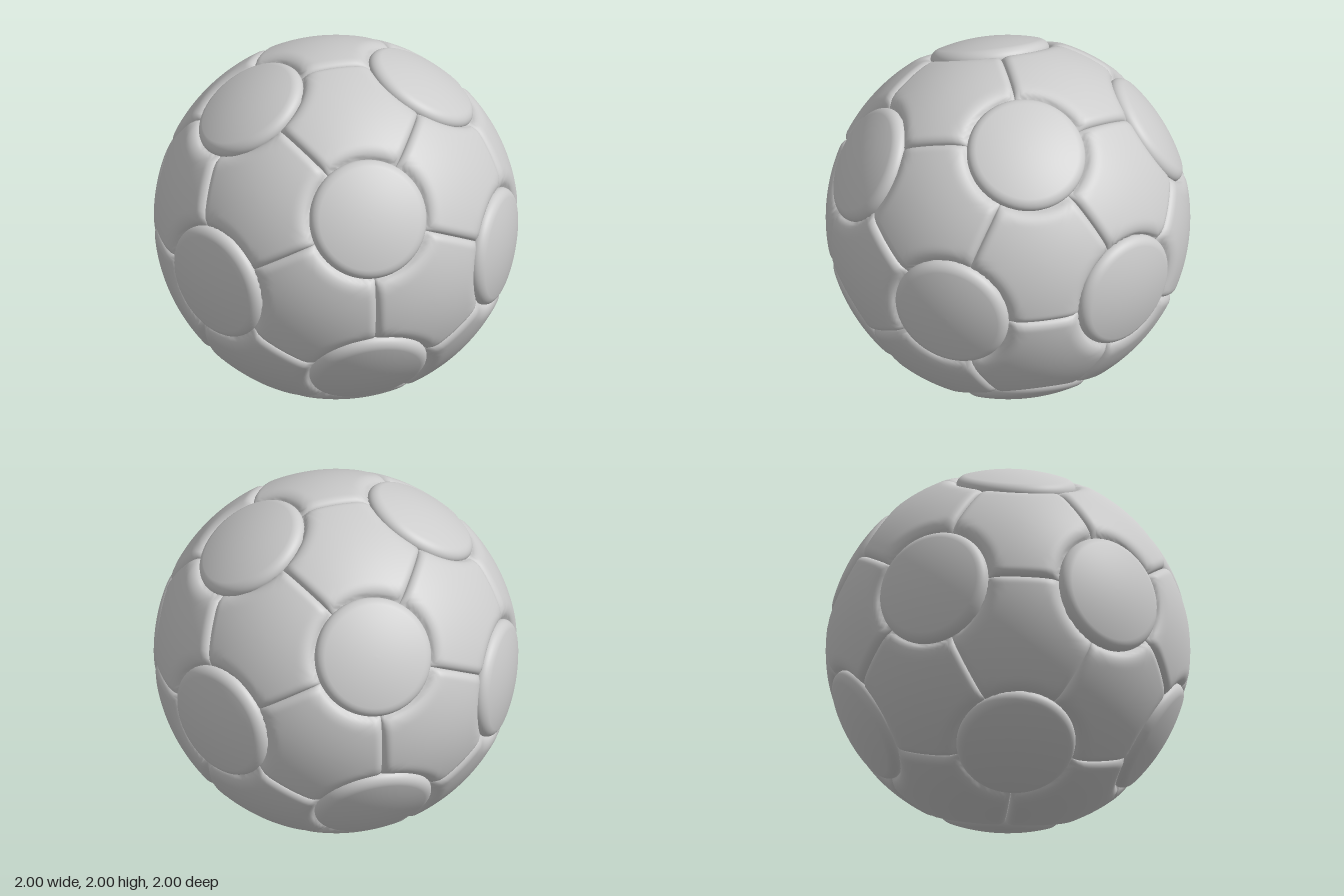
import * as THREE from 'three';

const DEG = Math.PI / 180;
const DISC = 20 * DEG; // angular radius of a round panel

// quarter-ellipse drop: 1 at the edge (u = 0), 0 from u = 1 inwards
const roll = (u) => {
  const k = 1 - Math.min(1, Math.max(0, u));
  return 1 - Math.sqrt(1 - k * k);
};

// six-sided padded panel over the icosahedron face a, b, c
function hexPanelGeometry(tri) {
  const corners = [], seams = [];
  tri.forEach((a, i) => {
    const b = tri[(i + 1) % 3];
    corners.push(a.clone().lerp(b, 1 / 3), a.clone().lerp(b, 2 / 3));
    seams.push(a.clone().cross(b).normalize());
  });
  const centre = tri[0].clone().add(tri[1]).add(tri[2]).divideScalar(3);
  const RINGS = 26, PER = 11, SEG = PER * 6;
  const pos = [], index = [];

  // project to the ball and sink the margins at the seams and round panels
  const addPoint = (p) => {
    const d = p.clone().normalize();
    let keep = 1;
    seams.forEach((n) => { keep *= 1 - 0.8 * roll(d.dot(n) / 0.05); });
    tri.forEach((v) => { keep *= 1 - roll((d.angleTo(v) - DISC) / (5 * DEG)); });
    d.multiplyScalar(1 - 0.052 * (1 - keep));
    pos.push(d.x, d.y, d.z);
  };

  addPoint(centre);
  for (let i = 1; i <= RINGS; i++) {
    const t = 1 - (1 - i / RINGS) ** 2; // rings crowd towards the edge
    for (let j = 0; j < SEG; j++) {
      const k = Math.floor(j / PER);
      const rim = corners[k].clone().lerp(corners[(k + 1) % 6], (j % PER) / PER);
      addPoint(centre.clone().lerp(rim, t));
    }
  }
  for (let j = 0; j < SEG; j++) {
    const n = (j + 1) % SEG;
    index.push(0, 1 + j, 1 + n);
    for (let i = 0; i < RINGS - 1; i++) {
      const p = 1 + i * SEG, q = p + SEG;
      index.push(p + j, q + j, q + n, p + j, q + n, p + n);
    }
  }
  const g = new THREE.BufferGeometry();
  g.setAttribute('position', new THREE.Float32BufferAttribute(pos, 3));
  g.setIndex(index);
  g.computeVertexNormals();
  return g;
}

// round domed panel with a rolled rim, pointing along +y
function discGeometry() {
  const points = [];
  const add = (angle, r) => points.push(new THREE.Vector2(r * Math.sin(angle), r * Math.cos(angle)));
  const width = 3.6 * DEG;
  add(DISC, 0.92);
  for (let i = 0; i <= 10; i++) { // rolled rim
    const a = (i / 10) * Math.PI / 2;
    add(DISC - width * (1 - Math.cos(a)), 0.95 + 0.05 * Math.sin(a));
  }
  for (let i = 1; i <= 10; i++) add((DISC - width) * (1 - i / 10), 1); // dome
  return new THREE.LatheGeometry(points, 64);
}

export function createModel() {
  const model = new THREE.Group();
  model.name = 'ball';
  const grey = new THREE.MeshStandardMaterial({ color: 0xcccccc });
  grey.name = 'light grey';

  // icosahedron faces carry the six-sided panels, its corners the round ones
  const p = new THREE.IcosahedronGeometry(1, 0).getAttribute('position');
  const poles = [];
  for (let f = 0; f < p.count; f += 3) {
    const tri = [0, 1, 2].map((k) => new THREE.Vector3().fromBufferAttribute(p, f + k).normalize());
    const panel = new THREE.Mesh(hexPanelGeometry(tri), grey);
    panel.name = 'hexagonPanel';
    model.add(panel);
    tri.forEach((v) => { if (!poles.some((q) => q.distanceTo(v) < 0.01)) poles.push(v); });
  }

  const disc = discGeometry();
  const up = new THREE.Vector3(0, 1, 0);
  poles.forEach((v) => {
    const mesh = new THREE.Mesh(disc, grey);
    mesh.name = 'roundPanel';
    mesh.quaternion.setFromUnitVectors(up, v);
    model.add(mesh);
  });

  // rest the ball on the ground
  model.children.forEach((m) => { m.position.y = 1; });
  return model;
}
